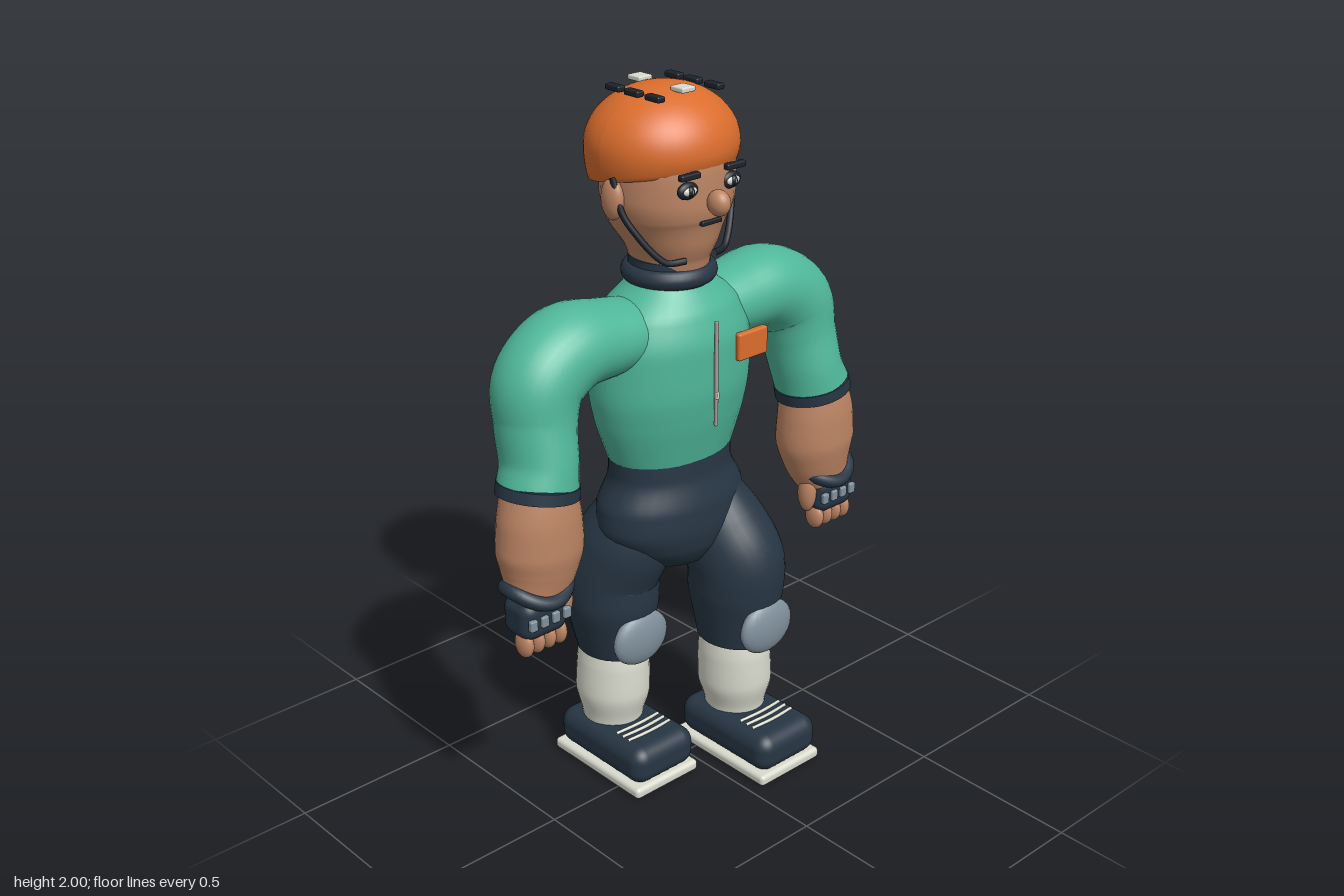
import * as THREE from 'three';
import { RoundedBoxGeometry } from 'three/addons/geometries/RoundedBoxGeometry.js';

const mat = (name, color) => Object.assign(new THREE.MeshStandardMaterial({ color }), { name });
const M = {
  skin: mat('skin', 0xbd8564),
  orange: mat('helmet orange', 0xdb6d2d),
  green: mat('jersey green', 0x4fb799),
  navy: mat('navy', 0x273644),
  white: mat('off white', 0xdadbce),
  grey: mat('pad grey', 0x80909c),
  dark: mat('near black', 0x1c222b),
  metal: mat('zip metal', 0xa79c9b),
};

// Closed loft through elliptical sections [x, y, z, side radius, depth radius]
function loft(sections, rows = 36, cols = 32) {
  const path = new THREE.CatmullRomCurve3(sections.map(p => new THREE.Vector3(p[0], p[1], p[2])));
  const radii = new THREE.CatmullRomCurve3(sections.map(p => new THREE.Vector3(p[3], p[4], 0)));
  const pos = [], idx = [];
  for (let i = 0; i <= rows; i++) {
    const t = i / rows, p = path.getPoint(t), r = radii.getPoint(t), T = path.getTangent(t);
    const B = new THREE.Vector3(0, 0, 1).addScaledVector(T, -T.z).normalize();
    const N = new THREE.Vector3().crossVectors(B, T);
    for (let j = 0; j < cols; j++) {
      const a = j / cols * Math.PI * 2;
      const v = p.clone().addScaledVector(N, Math.cos(a) * r.x).addScaledVector(B, Math.sin(a) * r.y);
      pos.push(v.x, v.y, v.z);
      if (i < rows) {
        const k = i * cols + j, n = i * cols + (j + 1) % cols;
        idx.push(k, n, k + cols, n, n + cols, k + cols);
      }
    }
  }
  // End caps with their own rings, so the rims stay sharp
  for (const end of [0, rows]) {
    const base = pos.length / 3, from = end * cols * 3;
    pos.push(...pos.slice(from, from + cols * 3));
    const c = path.getPoint(end / rows);
    pos.push(c.x, c.y, c.z);
    for (let j = 0; j < cols; j++) {
      const k = base + j, n = base + (j + 1) % cols;
      idx.push(...(end ? [k, n, base + cols] : [n, k, base + cols]));
    }
  }
  const g = new THREE.BufferGeometry();
  g.setAttribute('position', new THREE.Float32BufferAttribute(pos, 3));
  g.setIndex(idx);
  g.computeVertexNormals();
  return g;
}

export function createModel() {
  const model = new THREE.Group();
  model.name = 'skater';
  const add = (name, geo, m, x = 0, y = 0, z = 0) => {
    const mesh = new THREE.Mesh(geo, m);
    mesh.name = name;
    mesh.position.set(x, y, z);
    model.add(mesh);
    return mesh;
  };
  const ball = (name, m, x, y, z, rx, ry, rz) =>
    add(name, new THREE.SphereGeometry(1, 24, 16).scale(rx, ry, rz), m, x, y, z);
  const slab = (name, m, x, y, z, w, h, d, r = Math.min(w, h, d) * 0.3) =>
    add(name, new RoundedBoxGeometry(w, h, d, 4, r), m, x, y, z);
  const tube = (name, m, pts, r, closed = false) => add(name, new THREE.TubeGeometry(
    new THREE.CatmullRomCurve3(pts.map(p => new THREE.Vector3(...p)), closed), 48, r, 10, closed), m);
  const trunk = rows => rows.map(([y, rx, rz, z = -0.065]) => [0, y, z, rx, rz]);

  // Torso and pelvis
  add('jersey', loft(trunk([[0.985, 0.197, 0.138], [1.1, 0.235, 0.165], [1.2, 0.25, 0.18], [1.32, 0.245, 0.18],
    [1.41, 0.205, 0.155], [1.47, 0.13, 0.115], [1.5, 0.1, 0.1]])), M.green);
  add('shortsHips', loft(trunk([[0.995, 0.194, 0.134], [0.93, 0.195, 0.138], [0.85, 0.235, 0.158],
    [0.79, 0.24, 0.162], [0.72, 0.2, 0.15], [0.66, 0.12, 0.11], [0.63, 0.05, 0.05]])), M.navy);
  add('collar', new THREE.TorusGeometry(0.102, 0.028, 16, 40).rotateX(Math.PI / 2), M.navy, 0, 1.5, -0.065);
  add('neckBand', new THREE.CylinderGeometry(0.11, 0.112, 0.05, 36), M.navy, 0, 1.52, -0.065);
  slab('zip', M.metal, 0, 1.25, 0.12, 0.01, 0.3, 0.01);
  slab('zipPull', M.white, 0, 1.19, 0.125, 0.01, 0.02, 0.008);
  slab('chestPatch', M.orange, 0.143, 1.297, 0.105, 0.108, 0.078, 0.022);

  // Head
  add('head', loft(trunk([[1.9, 0.14, 0.13, -0.08], [1.8, 0.188, 0.17, -0.07], [1.72, 0.185, 0.172, -0.07],
    [1.66, 0.166, 0.165, -0.07], [1.6, 0.13, 0.142], [1.55, 0.105, 0.12], [1.51, 0.1, 0.11]])), M.skin);
  ball('nose', M.skin, 0, 1.722, 0.125, 0.028, 0.035, 0.034);
  slab('mouth', M.dark, 0, 1.666, 0.095, 0.07, 0.013, 0.016);

  // Helmet: dome with a tilted rim, lower at the back
  const dome = new THREE.SphereGeometry(1, 48, 48), dp = dome.attributes.position;
  for (let i = 0; i < dp.count; i++) {
    const y = dp.getY(i), z = dp.getZ(i), low = Math.max(y, -0.32);
    const h = y > 0 ? y * 0.157 : low * 0.22 + Math.min(1, -y / 0.32) * z * 0.032;
    dp.setXYZ(i, dp.getX(i) * 0.212, h, z * 0.195);
  }
  dome.computeVertexNormals();
  add('helmet', dome, M.orange, 0, 1.84, -0.09);
  for (const z of [-0.175, -0.01]) slab('helmetBadge', M.white, 0, 1.992, z, 0.046, 0.014, 0.048);

  for (const s of [1, -1]) {
    const side = s > 0 ? 'left' : 'right';
    const at = rows => rows.map(([x, ...rest]) => [x * s, ...rest]);
    const part = n => side + n;

    // Face and helmet fittings
    ball(part('EyeRim'), M.dark, s * 0.075, 1.761, 0.089, 0.034, 0.023, 0.014);
    ball(part('EyeWhite'), M.white, s * 0.075, 1.761, 0.093, 0.025, 0.014, 0.014);
    ball(part('Pupil'), M.dark, s * 0.075, 1.761, 0.098, 0.012, 0.014, 0.013);
    ball(part('EyeGlint'), M.grey, s * 0.075, 1.762, 0.11, 0.003, 0.008, 0.003);
    slab(part('Brow'), M.dark, s * 0.079, 1.801, 0.1, 0.066, 0.017, 0.02);
    ball(part('Ear'), M.skin, s * 0.193, 1.73, -0.065, 0.024, 0.056, 0.037);
    tube(part('Strap'), M.dark, at([[0.2, 1.79, -0.055], [0.192, 1.7, -0.03], [0.168, 1.645, -0.005],
      [0.128, 1.585, 0.025], [0.1, 1.562, 0.04], [0.05, 1.56, 0.055]]), 0.009);
    for (const z of [-0.155, -0.082, -0.003])
      slab(part('HelmetVent'), M.dark, s * 0.102, 1.985, z, 0.025, 0.016, 0.054);

    // Arm
    add(part('Sleeve'), loft(at([[0.1, 1.35, -0.07, 0.09, 0.11], [0.24, 1.362, -0.07, 0.105, 0.12],
      [0.36, 1.362, -0.07, 0.118, 0.128], [0.455, 1.3, -0.06, 0.122, 0.122], [0.48, 1.2, -0.045, 0.107, 0.113],
      [0.492, 1.1, -0.022, 0.1, 0.112], [0.508, 1.04, -0.01, 0.108, 0.11]]), 48), M.green);
    add(part('Cuff'), loft(at([[0.505, 1.052, -0.01, 0.11, 0.112], [0.511, 1.02, -0.008, 0.112, 0.112]]), 2), M.navy);
    add(part('Forearm'), loft(at([[0.508, 1.04, -0.008, 0.1, 0.1], [0.514, 0.96, 0, 0.118, 0.103],
      [0.516, 0.88, 0, 0.124, 0.105], [0.524, 0.81, 0.003, 0.108, 0.092], [0.54, 0.74, 0.01, 0.085, 0.07]])), M.skin);
    const band = [];
    for (let i = 0; i < 16; i++) {
      const a = i / 16 * Math.PI * 2;
      band.push([s * 0.538 + Math.cos(a) * 0.085, 0.768 + 0.018 * Math.cos(2 * a), 0.008 + Math.sin(a) * 0.074]);
    }
    tube(part('Wristband'), M.navy, band, 0.021, true);
    slab(part('Glove'), M.navy, s * 0.55, 0.7, 0.015, 0.148, 0.115, 0.115, 0.035);
    ball(part('Thumb'), M.skin, s * 0.465, 0.715, 0.025, 0.025, 0.063, 0.03);
    for (let i = 0; i < 4; i++) {
      const x = s * (0.492 + i * 0.037);
      ball(part('Finger'), M.skin, x, 0.63, 0.033, 0.02, 0.04, 0.033);
      slab(part('KnuckleStud'), M.grey, x, 0.7, 0.074, 0.024, 0.032, 0.016);
    }

    // Leg, with the left one stepping forward
    const z = s > 0 ? 0.047 : -0.148;
    add(part('Thigh'), loft(at([[0.11, 0.84, -0.065, 0.09, 0.11], [0.132, 0.72, (z - 0.065) / 2, 0.132, 0.14],
      [0.15, 0.62, z, 0.137, 0.145], [0.152, 0.54, z, 0.135, 0.145], [0.149, 0.45, z, 0.117, 0.128],
      [0.146, 0.372, z, 0.1, 0.113]])), M.navy);
    ball(part('KneePad'), M.grey, s * 0.153, 0.445, z + 0.126, 0.096, 0.082, 0.034);
    add(part('Sock'), loft(at([[0.148, 0.39, z, 0.09, 0.1], [0.149, 0.33, z, 0.1, 0.111],
      [0.152, 0.24, z, 0.105, 0.113], [0.154, 0.16, z, 0.088, 0.094], [0.154, 0.1, z, 0.08, 0.085]])), M.white);
    slab(part('Shoe'), M.navy, s * 0.153, 0.088, z + 0.06, 0.228, 0.116, 0.365, 0.045);
    slab(part('Sole'), M.white, s * 0.153, 0.017, z + 0.055, 0.236, 0.034, 0.375, 0.013);
    for (const dz of [0.115, 0.14, 0.165])
      tube(part('Lace'), M.white, [[s * 0.153 - 0.08, 0.146, z + dz - 0.008], [s * 0.153, 0.15, z + dz],
        [s * 0.153 + 0.08, 0.146, z + dz - 0.008]], 0.005);
  }
  return model;
}
